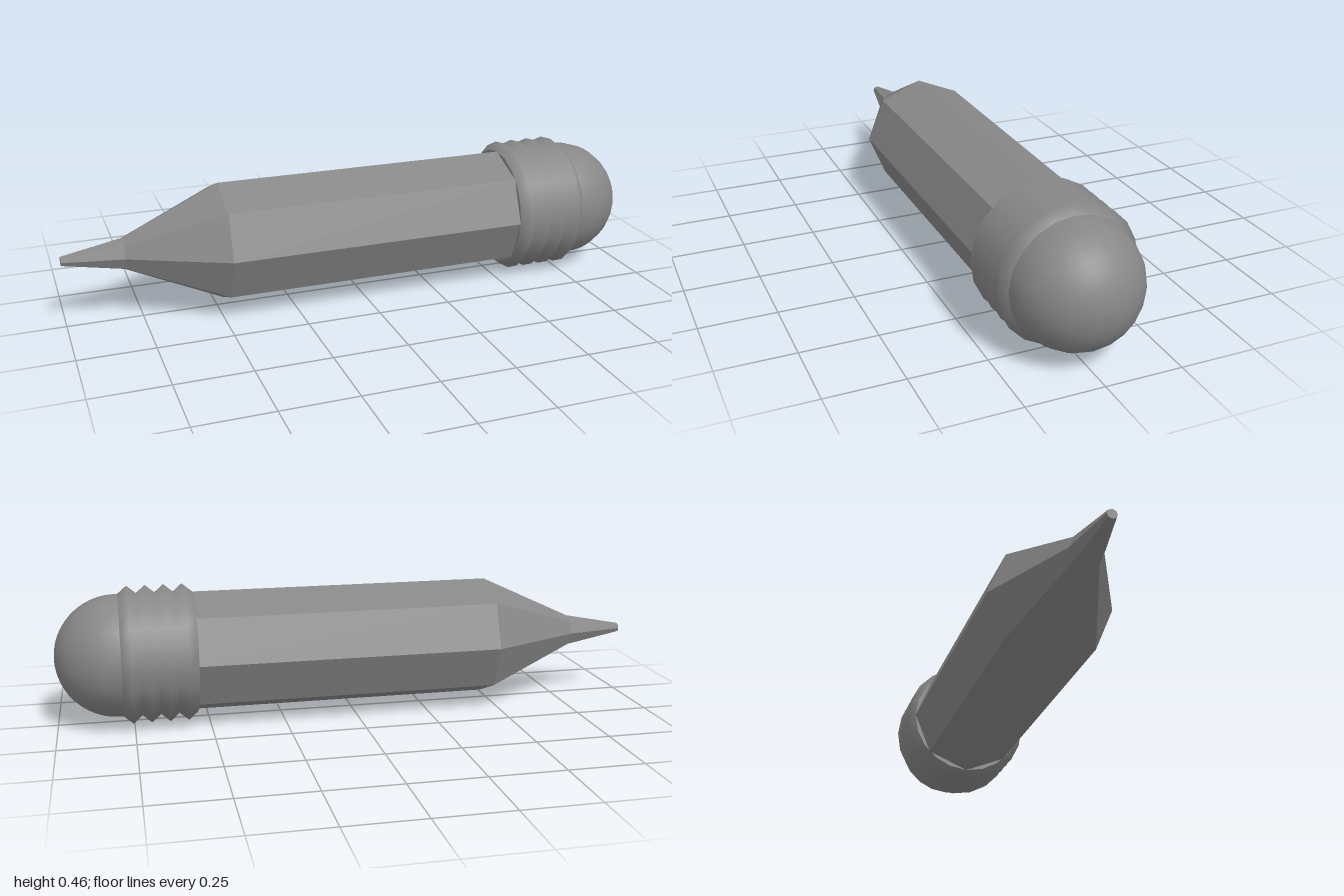
import * as THREE from 'three';

const AXIS_Y = 0.231;
const COLOR = 0x878787;
const smooth = new THREE.MeshStandardMaterial({ color: COLOR });
const faceted = new THREE.MeshStandardMaterial({ color: COLOR, flatShading: true });

// Turns a profile of [x, radius] pairs around the pencil's long axis.
function turned(name, profile, sides, material) {
  const geometry = new THREE.LatheGeometry(profile.map(([x, r]) => new THREE.Vector2(r, x)), sides);
  geometry.rotateZ(-Math.PI / 2);
  const mesh = new THREE.Mesh(geometry, material);
  mesh.name = name;
  mesh.position.y = AXIS_Y;
  return mesh;
}

export function createModel() {
  const pencil = new THREE.Group();
  pencil.name = 'pencil';
  const radius = 0.205;

  // Eight-sided lead point, sharpened cone and shaft
  pencil.add(turned('lead', [[-1, 0], [-1, 0.016], [-0.8, 0.055]], 8, faceted));
  pencil.add(turned('sharpenedCone', [[-0.8, 0.055], [-0.48, radius]], 8, faceted));
  pencil.add(turned('shaft', [[-0.48, radius], [0.545, radius]], 8, faceted));

  // Ferrule with four softly shaded ridges, closed around the shaft
  const start = 0.54, end = 0.785, ridges = 4;
  const step = (end - start) / ridges;
  const ferrule = [[start, radius]];
  for (let i = 0; i < ridges; i++) {
    ferrule.push([start + (i + 0.5) * step, 0.231], [start + (i + 1) * step, radius]);
  }
  pencil.add(turned('ferrule', ferrule, 20, smooth));
  pencil.add(turned('ferruleBack', [[start, 0], [start, radius]], 20, smooth));

  // Rounded eraser: a short collar running into a half sphere
  const steps = 12;
  const eraser = [[end, radius]];
  for (let i = 0; i <= steps; i++) {
    const a = (i / steps) * Math.PI / 2;
    eraser.push([1 - radius + radius * Math.sin(a), i === steps ? 0 : radius * Math.cos(a)]);
  }
  pencil.add(turned('eraser', eraser, 20, smooth));

  return pencil;
}
